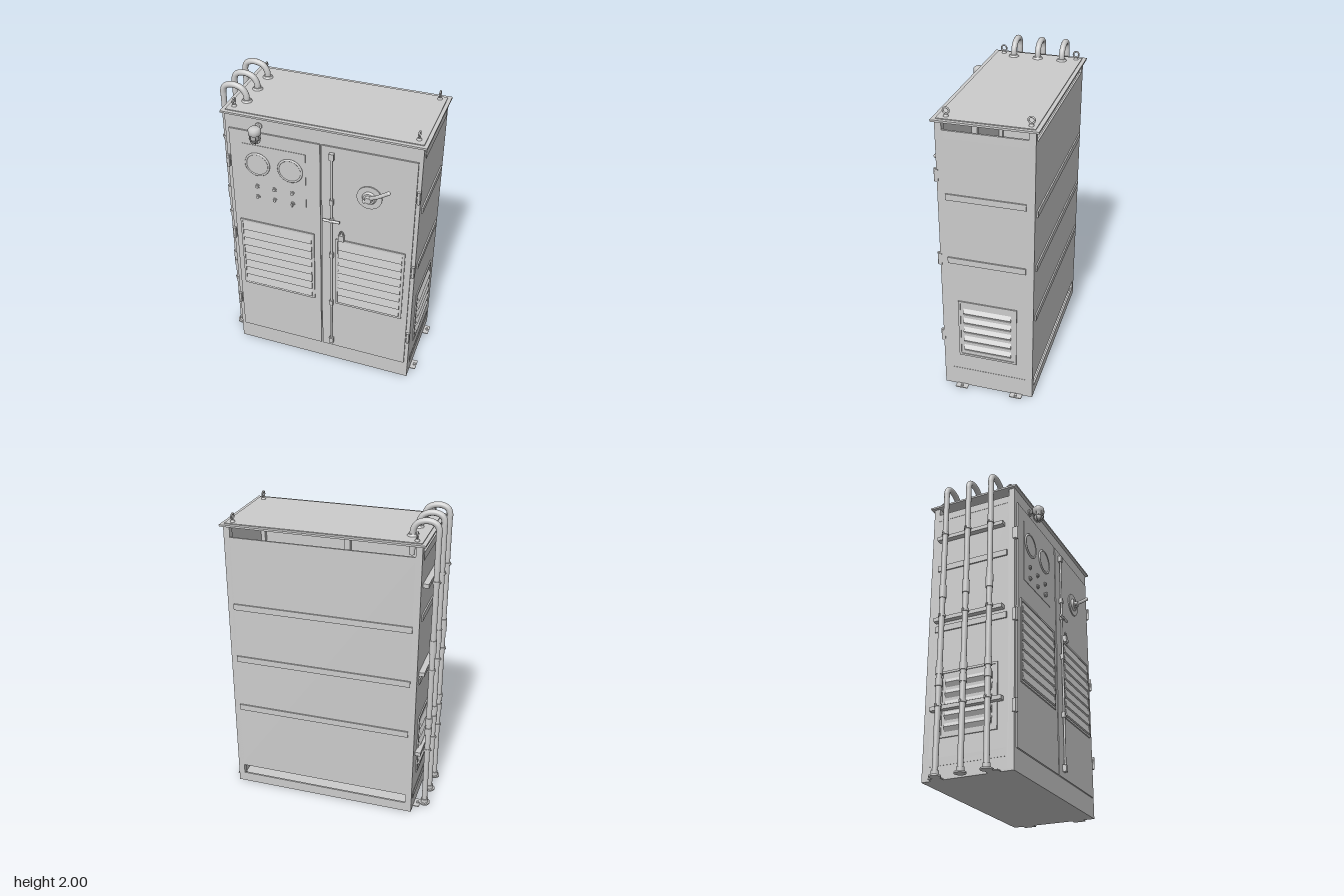
import * as THREE from 'three';

const mat = new THREE.MeshStandardMaterial({ color: 0xcccccc, side: THREE.DoubleSide });
const V = (x, y, z) => new THREE.Vector3(x, y, z);

export function createModel() {
  const root = new THREE.Group();
  root.name = 'electricalCabinet';

  const add = (name, geo, x = 0, y = 0, z = 0, parent = root) => {
    const m = new THREE.Mesh(geo, mat);
    m.name = name;
    m.position.set(x, y, z);
    parent.add(m);
    return m;
  };
  // box given by its limits on each axis
  const box = (name, x0, x1, y0, y1, z0, z1, parent) =>
    add(name, new THREE.BoxGeometry(x1 - x0, y1 - y0, z1 - z0), (x0 + x1) / 2, (y0 + y1) / 2, (z0 + z1) / 2, parent);
  const cyl = (name, r, h, x, y, z, axis = 'y', r2 = r, parent = root) => {
    const g = new THREE.CylinderGeometry(r2, r, h, 24);
    if (axis === 'z') g.rotateX(Math.PI / 2);
    if (axis === 'x') g.rotateZ(-Math.PI / 2);
    return add(name, g, x, y, z, parent);
  };
  const tube = (name, pts, r, seg = 40) =>
    add(name, new THREE.TubeGeometry(new THREE.CatmullRomCurve3(pts), seg, r, 14));
  const group = (name, parent = root) => {
    const g = new THREE.Group();
    g.name = name;
    parent.add(g);
    return g;
  };

  const L = -0.59, R = 0.645, F = 0.25, B = -0.34, TOP = 1.87;

  // Shell: floor, corner posts, walls stopping short of the roof
  box('floor', L, R, 0, 0.012, B, F);
  for (const x of [L, R - 0.04])
    for (const z of [B, F - 0.04]) box('cornerPost', x, x + 0.04, 0.012, TOP, z, z + 0.04);
  box('frontPanel', L, R, 0.012, TOP, F - 0.012, F);
  box('centrePost', 0.005, 0.045, 0.012, TOP, 0.2, F - 0.012);
  box('backPanel', L + 0.02, R - 0.02, 0.13, 1.8, B, B + 0.012);
  box('backSill', L, R, 0.012, 0.065, B, B + 0.012);
  for (const [name, x, s] of [['leftWall', R, 1], ['rightWall', L, -1]]) {
    const inner = x - s * 0.012, outer = x + s * 0.002;
    box(name, Math.min(x, inner), Math.max(x, inner), 0.012, 1.82, B, F);
    for (const y of [0.085, 1.77])
      box('sideRail', Math.min(x, outer), Math.max(x, outer), y, y + 0.05, -0.3, 0.2);
    for (const y of [0.965, 1.4])
      box('sideRib', x - 0.009, x + 0.009, y - 0.02, y + 0.02, -0.29, 0.2);
  }
  for (const y of [0.605, 0.97, 1.34])
    box('backRib', -0.55, 0.605, y - 0.02, y + 0.02, B - 0.009, B);

  // Roof with overhang and slightly raised inner sheet
  box('roof', -0.61, 0.663, TOP, 1.882, -0.36, 0.27);
  box('roofSheet', -0.585, 0.64, 1.882, 1.887, -0.335, 0.245);
  for (const x of [-0.547, 0.598])
    for (const z of [-0.3, 0.195]) {
      cyl('eyeBoltBase', 0.016, 0.014, x, 1.893, z, 'y', 0.01);
      add('eyeBoltRing', new THREE.TorusGeometry(0.018, 0.0055, 10, 24).rotateY(Math.PI / 2), x, 1.921, z);
    }

  // Floor tabs with bolts
  for (const [x, s] of [[R, 1], [L, -1]])
    for (const z of [-0.235, 0.13]) {
      box('footTab', Math.min(x - s * 0.02, x + s * 0.04), Math.max(x - s * 0.02, x + s * 0.04), 0, 0.006, z - 0.04, z + 0.04);
      cyl('footBolt', 0.009, 0.016, x + s * 0.025, 0.01, z);
    }

  // Louvred vent facing +z: frame, backing and wedge slats
  const vent = (name, w, h, n, pad, depth, lip, fill) => {
    const g = group(name);
    const f = 0.014, t = 0.008;
    box('ventBacking', -w / 2, w / 2, -h / 2, h / 2, 0, 0.003, g);
    for (const s of [-1, 1]) {
      add('ventFrame', new THREE.BoxGeometry(f, h, t), s * (w - f) / 2, 0, t / 2, g);
      add('ventFrame', new THREE.BoxGeometry(w, f, t), 0, s * (h - f) / 2, t / 2, g);
    }
    const pitch = (h - 2 * pad) / n, sh = pitch * fill, sw = w - 2 * pad;
    const shape = new THREE.Shape([[0, 0], [depth, sh * lip], [0, sh]].map(p => new THREE.Vector2(...p)));
    const geo = new THREE.ExtrudeGeometry(shape, { depth: sw, bevelEnabled: false });
    geo.translate(0, 0, -sw / 2).rotateY(-Math.PI / 2);
    for (let i = 0; i < n; i++) add('ventSlat', geo, 0, -h / 2 + pad + i * pitch, 0.003, g);
    return g;
  };
  vent('leftSideVent', 0.38, 0.42, 5, 0.035, 0.016, 0.5, 0.75).position.set(R, 0.46, -0.045);
  vent('rightSideVent', 0.38, 0.42, 5, 0.035, 0.016, 0.5, 0.75).position.set(L, 0.46, -0.045);
  root.getObjectByName('leftSideVent').rotation.y = Math.PI / 2;
  root.getObjectByName('rightSideVent').rotation.y = -Math.PI / 2;

  // Doors, louvres and hinges
  const D = 0.26;
  box('rightDoor', -0.565, 0.022, 0.135, 1.77, F, D);
  box('leftDoor', 0.032, 0.62, 0.135, 1.77, F, D);
  vent('rightDoorVent', 0.51, 0.55, 8, 0.018, 0.012, 0.04, 1).position.set(-0.275, 0.82, D);
  vent('leftDoorVent', 0.455, 0.55, 8, 0.018, 0.012, 0.04, 1).position.set(0.353, 0.82, D);
  for (const x of [-0.585, 0.635])
    for (const y of [1.53, 0.96, 0.38]) {
      box('hingeLeaf', x - 0.012, x + 0.012, y - 0.04, y + 0.04, F - 0.01, F + 0.012);
      cyl('hingePin', 0.008, 0.085, x, y, F + 0.012);
    }

  // Instrument plate with gauges, lamps and buttons
  box('instrumentPlate', -0.48, -0.07, 1.25, 1.68, D, D + 0.003);
  for (const x of [-0.385, -0.17]) {
    cyl('gaugeFace', 0.074, 0.008, x, 1.545, D + 0.005, 'z');
    add('gaugeRim', new THREE.TorusGeometry(0.076, 0.007, 10, 40), x, 1.545, D + 0.006);
  }
  for (const x of [-0.395, -0.28, -0.16])
    for (const y of [1.38, 1.3]) {
      cyl('buttonCollar', 0.015, 0.006, x, y, D + 0.005, 'z');
      cyl('button', 0.01, 0.014, x, y, D + 0.009, 'z');
    }
  box('selectorKnob', -0.164, -0.156, 1.285, 1.315, D, D + 0.022);

  // Caged warning lamp
  const lx = -0.367, lz = 0.315;
  cyl('lampArm', 0.01, 0.07, lx, 1.815, 0.275, 'z');
  cyl('lampBase', 0.022, 0.008, lx, 1.815, F + 0.004, 'z');
  const lampProfile = [[0, 1.84], [0.028, 1.838], [0.039, 1.826], [0.039, 1.796], [0.026, 1.794], [0.026, 1.755], [0.018, 1.742], [0, 1.737]];
  add('lampBody', new THREE.LatheGeometry(lampProfile.map(p => new THREE.Vector2(...p)).reverse(), 28), lx, 0, lz);
  for (let i = 0; i < 6; i++) {
    const c = Math.cos(i * Math.PI / 3), s = Math.sin(i * Math.PI / 3);
    tube('lampCage', [[0.034, 1.8], [0.034, 1.762], [0.024, 1.738], [0, 1.73]].map(([r, y]) => V(lx + r * c, y, lz + r * s)), 0.0025, 10);
  }
  add('lampCageRing', new THREE.TorusGeometry(0.034, 0.0025, 8, 28).rotateX(Math.PI / 2), lx, 1.765, lz);

  // Locking rod, guides, T handle and padlock
  cyl('lockRod', 0.007, 1.54, 0.1, 0.95, D + 0.012);
  for (const y of [1.38, 0.96, 0.55]) box('rodGuide', 0.088, 0.112, y - 0.018, y + 0.018, D, D + 0.022);
  for (const y of [1.71, 0.195]) box('rodEnd', 0.085, 0.115, y - 0.022, y + 0.022, D, D + 0.024);
  cyl('rodHandleStem', 0.013, 0.03, 0.1, 1.245, D + 0.015, 'z');
  cyl('rodHandle', 0.009, 0.11, 0.102, 1.245, D + 0.026, 'x');
  box('padlockBody', 0.148, 0.184, 1.095, 1.14, D, D + 0.022);
  tube('padlockShackle', [V(0.155, 1.135, D + 0.011), V(0.155, 1.155, D + 0.011), V(0.166, 1.168, D + 0.011), V(0.177, 1.155, D + 0.011), V(0.177, 1.135, D + 0.011)], 0.004, 20);

  // Rotary main switch with bent lever
  const sx = 0.337, sy = 1.465;
  cyl('switchDisc', 0.08, 0.008, sx, sy, D + 0.004, 'z');
  cyl('switchBoss', 0.046, 0.016, sx, sy, D + 0.014, 'z', 0.036);
  cyl('switchHub', 0.026, 0.024, sx, sy, D + 0.03, 'z', 0.02);
  tube('switchLever', [V(sx - 0.03, sy - 0.02, 0.285), V(sx + 0.02, sy + 0.018, 0.29), V(sx + 0.06, sy + 0.048, 0.308), V(0.468, 1.565, 0.32)], 0.012);
  add('leverTip', new THREE.SphereGeometry(0.013, 16, 12), 0.468, 1.565, 0.32);

  // Conduits running up the side and into the roof
  const px = -0.655, tx = -0.5;
  for (const z of [-0.213, -0.05, 0.113]) {
    cyl('conduit', 0.018, 1.92, px, 0.96, z);
    tube('conduitBend', [V(px, 1.9, z), V(px, 1.93, z), V(px + 0.012, 1.962, z), V(px + 0.045, 1.98, z),
      V(tx - 0.065, 1.98, z), V(tx - 0.025, 1.962, z), V(tx - 0.003, 1.925, z), V(tx, 1.88, z)], 0.019);
    cyl('conduitTail', 0.018, 0.12, tx, 1.83, z);
    cyl('roofGland', 0.034, 0.014, tx, 1.892, z, 'y', 0.026);
    cyl('floorFlange', 0.036, 0.01, px, 0.005, z);
    cyl('floorCollar', 0.024, 0.03, px, 0.022, z);
    for (const [y, h] of [[1.185, 0.09], [0.65, 0.05], [0.575, 0.05]]) cyl('conduitSleeve', 0.023, h, px, y, z);
    for (const y of [1.61, 1.02, 0.43]) {
      cyl('conduitClamp', 0.023, 0.018, px, y, z);
      cyl('clampBolt', 0.005, 0.085, -0.64, y, z, 'x');
    }
  }
  for (const y of [1.61, 1.02, 0.43]) box('conduitRail', -0.626, L, y - 0.013, y + 0.013, -0.288, 0.183);

  return root;
}
